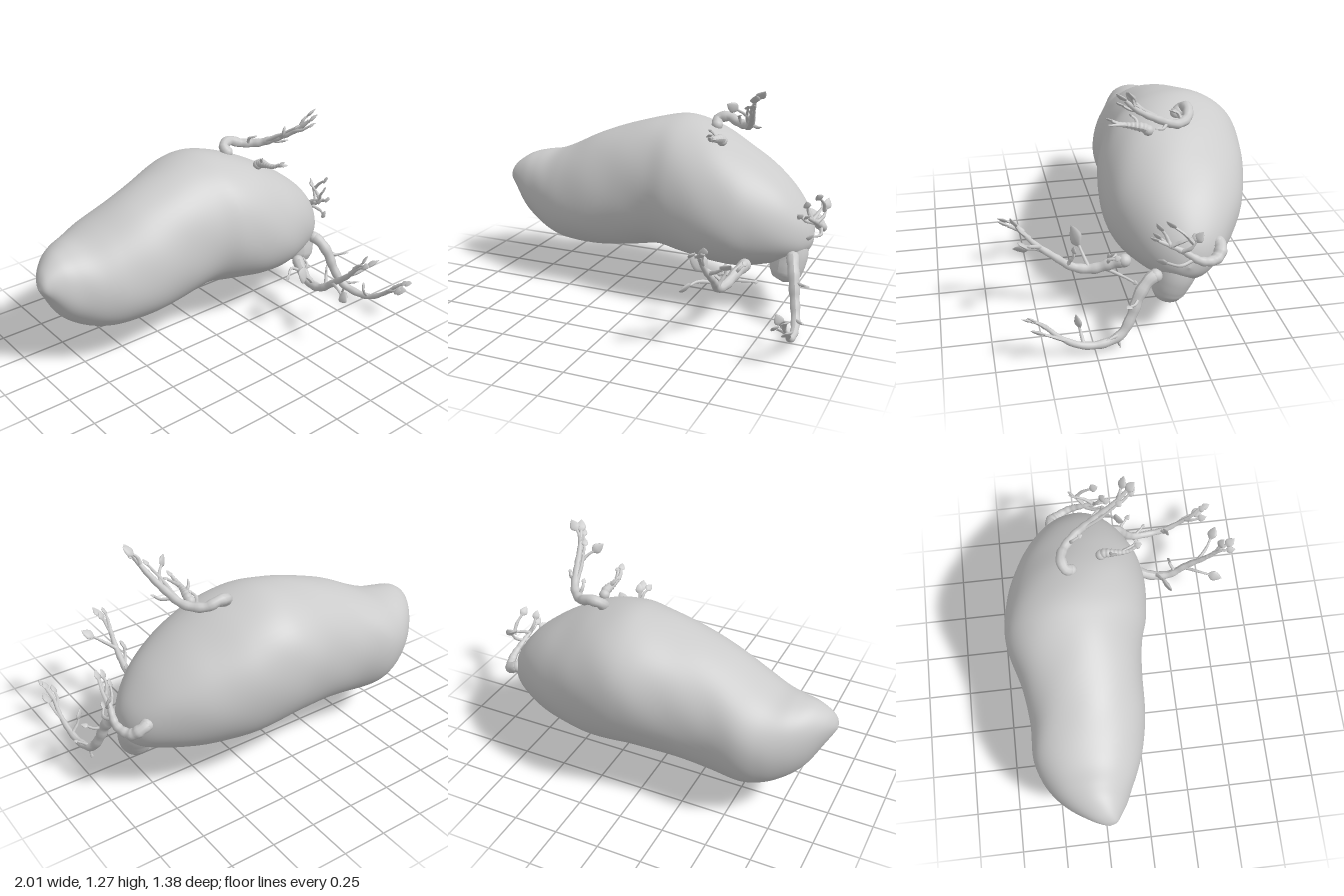
import * as THREE from 'three';

const material = new THREE.MeshStandardMaterial({ color: 0xcccccc, roughness: 0.8 });
const V = (p) => new THREE.Vector3(...p);

function addMesh(parent, name, geometry) {
  const mesh = new THREE.Mesh(geometry, material);
  mesh.name = name;
  parent.add(mesh);
  return mesh;
}

// Tuber: oval sections [x, bottom, top, back, front]
const SECTIONS = [
  [-1.0, 0.57, 0.57, -0.23, -0.23], [-0.985, 0.54, 0.62, -0.28, -0.19],
  [-0.95, 0.48, 0.665, -0.345, -0.165], [-0.88, 0.36, 0.71, -0.44, -0.125],
  [-0.8, 0.285, 0.732, -0.515, -0.09], [-0.7, 0.23, 0.75, -0.575, -0.045],
  [-0.58, 0.2, 0.8, -0.61, -0.005], [-0.4, 0.2, 0.885, -0.603, 0.03],
  [-0.2, 0.225, 0.96, -0.63, 0.042], [0, 0.255, 1.015, -0.685, 0.06],
  [0.15, 0.242, 1.025, -0.695, 0.1], [0.33, 0.222, 0.975, -0.665, 0.122],
  [0.5, 0.222, 0.89, -0.61, 0.11], [0.63, 0.245, 0.81, -0.55, 0.065],
  [0.75, 0.275, 0.715, -0.47, 0.0], [0.84, 0.31, 0.61, -0.39, -0.075],
  [0.89, 0.36, 0.52, -0.31, -0.15], [0.91, 0.42, 0.42, -0.22, -0.22],
];

function tuberGeometry(rows = 110, sides = 64) {
  const spline = (pick) =>
    new THREE.CatmullRomCurve3(SECTIONS.map((s) => V(pick(s))), false, 'catmullrom', 0.5);
  const low = spline((s) => [s[0], s[1], s[3]]);
  const high = spline((s) => [s[0], s[2], s[4]]);
  const pos = [], index = [];
  for (let i = 0; i <= rows; i++) {
    const a = low.getPoint(i / rows), b = high.getPoint(i / rows);
    const ry = (b.y - a.y) / 2, rz = (b.z - a.z) / 2;
    for (let j = 0; j < sides; j++) {
      const t = (j / sides) * Math.PI * 2, c = Math.cos(t), s = Math.sin(t);
      // Gentle dents, slightly full corners, and sides that lean back
      const k = 1 + 0.015 * (2 * s * c) ** 2 + 0.005 * Math.sin(9 * a.x + 3 * t)
        + 0.003 * Math.sin(14 * a.x - 4 * t + 1) + 0.002 * Math.sin(19 * a.x + 7 * t);
      const lean = -0.09 * ry * c * (1 - s * s);
      pos.push(a.x, (a.y + b.y) / 2 + ry * s * k + lean, (a.z + b.z) / 2 + rz * c * k);
      if (i < rows) {
        const p = i * sides + j, q = i * sides + ((j + 1) % sides);
        index.push(p, p + sides, q, q, p + sides, q + sides);
      }
    }
  }
  const g = new THREE.BufferGeometry();
  g.setAttribute('position', new THREE.Float32BufferAttribute(pos, 3));
  g.setIndex(index);
  g.computeVertexNormals();
  return g;
}

// Tube whose radius follows a list of values along the path
function taperedTube(points, radii, segments = 40, sides = 10, knobbly = 0) {
  const curve = new THREE.CatmullRomCurve3(points.map(V));
  const g = new THREE.TubeGeometry(curve, segments, 1, sides, false);
  const pos = g.attributes.position, v = new THREE.Vector3();
  for (let i = 0; i <= segments; i++) {
    const u = i / segments, centre = curve.getPointAt(u);
    const f = u * (radii.length - 1), n = Math.min(Math.floor(f), radii.length - 2);
    const r = THREE.MathUtils.lerp(radii[n], radii[n + 1], f - n) * (1 + knobbly * Math.sin(i * 1.3));
    for (let j = 0; j <= sides; j++) {
      const k = i * (sides + 1) + j;
      v.fromBufferAttribute(pos, k).sub(centre).multiplyScalar(r).add(centre);
      pos.setXYZ(k, v.x, v.y, v.z);
    }
  }
  g.computeVertexNormals();
  return g;
}

// Flattened pointed bud leaf along +y, base at the origin
const leafProfile = [[0.001, 0], [0.12, 0.08], [0.33, 0.28], [0.37, 0.46], [0.25, 0.72], [0.1, 0.9], [0.001, 1]];
const leafGeometry = new THREE.LatheGeometry(
  new THREE.SplineCurve(leafProfile.map((p) => new THREE.Vector2(...p))).getPoints(12), 10);
leafGeometry.scale(1, 1, 0.3);

function addLeaf(parent, at, direction, size) {
  const leaf = addMesh(parent, 'leaf', leafGeometry);
  leaf.position.copy(at);
  leaf.quaternion.setFromUnitVectors(new THREE.Vector3(0, 1, 0), direction.clone().normalize());
  leaf.rotateY(0.6);
  leaf.scale.setScalar(size);
}

// Sprout: stem, rounded foot, and twigs of [path, leaf size]
function makeSprout(name, path, radii, tipLeaf, twigs) {
  const group = new THREE.Group();
  group.name = name;
  addMesh(group, 'stem', taperedTube(path, radii, 48, 10, 0.07));
  const foot = addMesh(group, 'foot', new THREE.SphereGeometry(radii[0] * 1.08, 14, 10));
  foot.position.set(...path[0]);
  for (const [points, size] of [[path, tipLeaf], ...twigs]) {
    if (points !== path) addMesh(group, 'twig', taperedTube(points, [0.012, 0.009, 0.006], 12, 7, 0.06));
    const end = V(points.at(-1)), dir = end.clone().sub(V(points.at(-2))).normalize();
    addLeaf(group, end.addScaledVector(dir, -0.01), dir, size);
  }
  return group;
}

export function createModel() {
  const model = new THREE.Group();
  model.name = 'sproutingTuber';
  addMesh(model, 'tuber', tuberGeometry());

  // Blunt root stub under the left end, flaring into the tuber
  addMesh(model, 'rootStub', taperedTube(
    [[0.68, 0.5, -0.27], [0.755, 0.41, -0.21], [0.785, 0.33, -0.18], [0.78, 0.25, -0.155], [0.765, 0.17, -0.145]],
    [0.12, 0.14, 0.145, 0.14, 0.13, 0.12, 0.112, 0.106, 0.1, 0.096, 0.09, 0.072, 0.001], 48, 24));

  // Small nub under the right end
  const nub = addMesh(model, 'rootNub', new THREE.ConeGeometry(0.035, 0.06, 10));
  nub.position.set(-0.59, 0.205, -0.33);
  nub.rotation.x = Math.PI;

  model.add(makeSprout('topSprout',
    [[0.31, 0.99, -0.29], [0.305, 1.02, -0.32], [0.36, 1.035, -0.335], [0.43, 1.01, -0.315], [0.51, 1.015, -0.24],
      [0.56, 1.07, -0.13], [0.6, 1.14, -0.02], [0.63, 1.21, 0.05]],
    [0.03, 0.029, 0.026, 0.024, 0.021, 0.018, 0.014, 0.01], 0.075, [
      [[[0.56, 1.08, -0.11], [0.54, 1.12, -0.06], [0.51, 1.145, -0.03]], 0.08],
      [[[0.61, 1.17, 0.0], [0.62, 1.205, 0.01], [0.64, 1.225, 0.02]], 0.075],
      [[[0.59, 1.13, -0.04], [0.6, 1.15, 0.02], [0.62, 1.18, 0.06]], 0.055],
      [[[0.52, 1.02, -0.22], [0.54, 1.09, -0.11], [0.575, 1.16, -0.01]], 0.05],
      [[[0.46, 1.01, -0.28], [0.45, 1.05, -0.26], [0.46, 1.065, -0.23]], 0.035],
      [[[0.53, 1.04, -0.19], [0.59, 1.03, -0.15], [0.61, 1.04, -0.12]], 0.03],
    ]));

  model.add(makeSprout('upperFrontSprout',
    [[0.4, 0.945, -0.12], [0.4, 0.96, -0.1], [0.39, 0.972, -0.04], [0.385, 0.985, 0.03], [0.395, 1.01, 0.07]],
    [0.027, 0.024, 0.016, 0.012, 0.008], 0.05, [
      [[[0.39, 0.98, 0.0], [0.41, 0.99, 0.05], [0.42, 0.995, 0.07]], 0.04],
      [[[0.4, 0.965, -0.07], [0.37, 1.0, -0.06], [0.36, 1.015, -0.04]], 0.025],
    ]));

  model.add(makeSprout('leftEndSprout',
    [[0.835, 0.505, -0.385], [0.865, 0.495, -0.39], [0.91, 0.46, -0.355], [0.945, 0.475, -0.27], [0.93, 0.53, -0.18],
      [0.915, 0.57, -0.1], [0.91, 0.59, -0.06]],
    [0.032, 0.032, 0.025, 0.021, 0.016, 0.012, 0.008], 0.055, [
      [[[0.94, 0.49, -0.24], [0.96, 0.47, -0.16], [0.93, 0.475, -0.1]], 0.065],
      [[[0.93, 0.53, -0.17], [0.96, 0.56, -0.21], [0.965, 0.6, -0.235]], 0.07],
      [[[0.96, 0.59, -0.22], [0.965, 0.64, -0.18], [0.955, 0.68, -0.13]], 0.065],
      [[[0.92, 0.56, -0.12], [0.94, 0.59, -0.17], [0.95, 0.61, -0.22]], 0.06],
      [[[0.92, 0.56, -0.12], [0.9, 0.61, -0.1], [0.9, 0.64, -0.08]], 0.06],
      [[[0.92, 0.53, -0.17], [0.885, 0.55, -0.12], [0.87, 0.58, -0.08]], 0.055],
    ]));

  model.add(makeSprout('lowerFrontSprout',
    [[0.6, 0.31, 0.04], [0.575, 0.285, 0.1], [0.55, 0.25, 0.2], [0.54, 0.265, 0.3], [0.55, 0.345, 0.4],
      [0.545, 0.43, 0.5], [0.54, 0.51, 0.57], [0.56, 0.555, 0.63]],
    [0.033, 0.03, 0.027, 0.022, 0.019, 0.016, 0.012, 0.009], 0.075, [
      [[[0.55, 0.26, 0.22], [0.49, 0.32, 0.245], [0.46, 0.345, 0.255]], 0.13],
      [[[0.55, 0.41, 0.47], [0.61, 0.45, 0.53], [0.65, 0.48, 0.555]], 0.085],
      [[[0.55, 0.33, 0.38], [0.49, 0.36, 0.48], [0.47, 0.355, 0.53]], 0.09],
      [[[0.54, 0.46, 0.52], [0.55, 0.51, 0.57], [0.56, 0.55, 0.59]], 0.07],
      [[[0.54, 0.5, 0.55], [0.53, 0.55, 0.6], [0.525, 0.56, 0.63]], 0.06],
      [[[0.56, 0.26, 0.15], [0.62, 0.22, 0.04], [0.65, 0.205, 0.0]], 0.035],
      [[[0.55, 0.29, 0.33], [0.58, 0.355, 0.3], [0.58, 0.37, 0.3]], 0.05],
      [[[0.57, 0.28, 0.12], [0.52, 0.3, 0.07], [0.48, 0.27, 0.09]], 0.05],
      [[[0.57, 0.28, 0.12], [0.6, 0.32, 0.12], [0.61, 0.33, 0.09]], 0.045],
    ]));

  model.add(makeSprout('lowerLeftSprout',
    [[0.835, 0.35, -0.07], [0.845, 0.34, -0.04], [0.87, 0.27, 0.02], [0.89, 0.17, 0.06], [0.915, 0.08, 0.12],
      [0.935, 0.05, 0.22], [0.945, 0.065, 0.33], [0.955, 0.13, 0.43], [0.955, 0.21, 0.51], [0.965, 0.245, 0.55]],
    [0.033, 0.032, 0.029, 0.026, 0.024, 0.021, 0.018, 0.014, 0.011, 0.008], 0.06, [
      [[[0.945, 0.06, 0.31], [0.9, 0.11, 0.32], [0.89, 0.135, 0.325]], 0.075],
      [[[0.95, 0.1, 0.39], [0.975, 0.155, 0.47], [0.978, 0.175, 0.51]], 0.085],
      [[[0.955, 0.16, 0.46], [0.93, 0.19, 0.5], [0.925, 0.21, 0.54]], 0.065],
      [[[0.955, 0.2, 0.5], [0.97, 0.24, 0.54], [0.975, 0.255, 0.57]], 0.06],
      [[[0.92, 0.06, 0.14], [0.92, 0.03, 0.13], [0.92, 0.016, 0.125]], 0.025],
      [[[0.91, 0.08, 0.12], [0.95, 0.09, 0.17], [0.97, 0.095, 0.19]], 0.03],
      [[[0.87, 0.26, 0.02], [0.92, 0.25, 0.05], [0.95, 0.26, 0.08]], 0.045],
    ]));

  return model;
}
